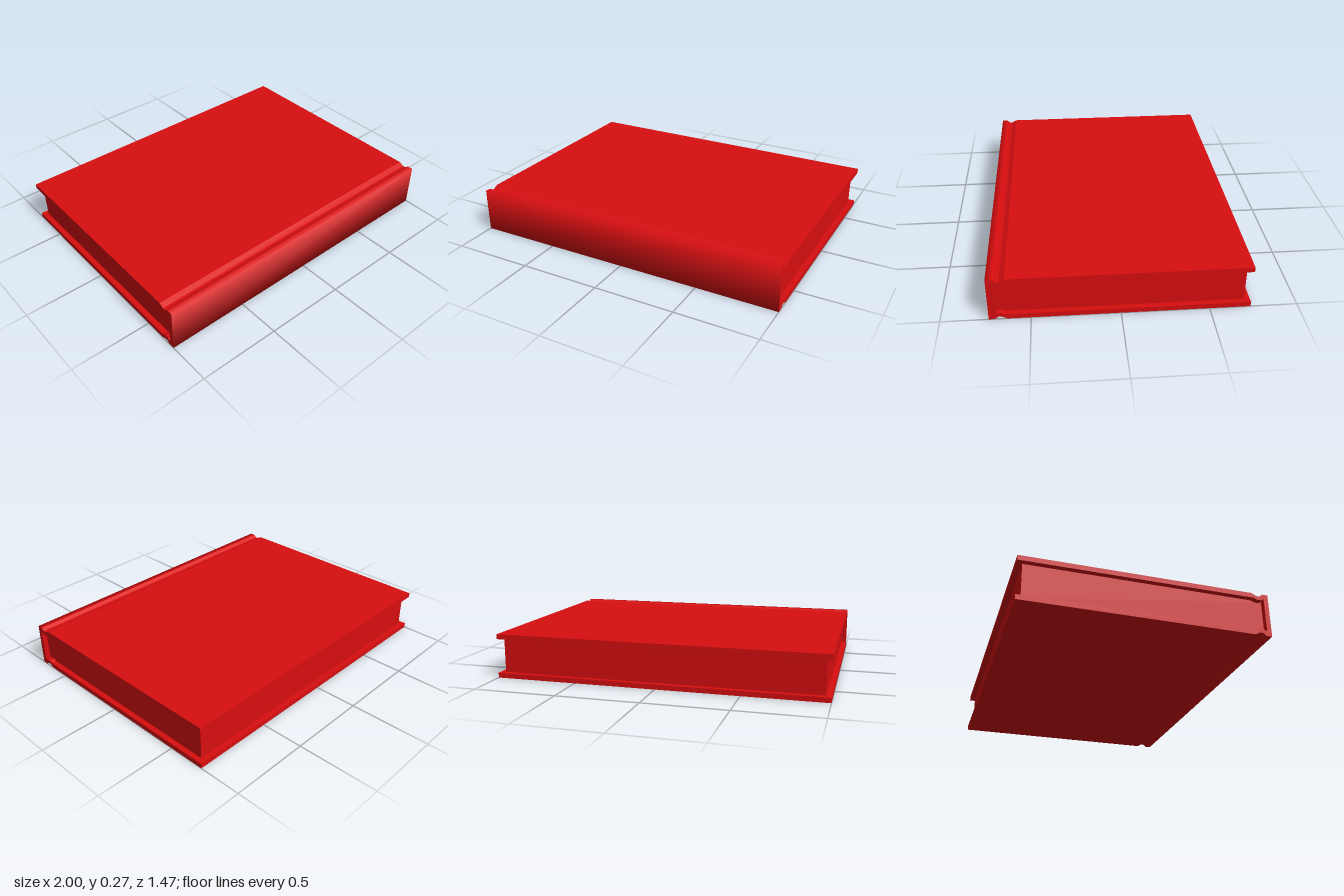
import * as THREE from 'three';

const HEIGHT = 0.27, HALF_LENGTH = 1, HALF_DEPTH = 0.733;

export function createModel() {
  const book = new THREE.Group();
  book.name = 'book';
  const red = new THREE.MeshStandardMaterial({ color: 0xd90e10 });
  red.name = 'red';

  // Lower half of the cover profile as [z, y]: outside to the spine, inside back to the fore edge
  const outer = [[-HALF_DEPTH, 0], [0.63, 0], [0.66, 0.016], [0.68, 0.016], [0.697, 0], [HALF_DEPTH, 0]];
  const inner = [[0.705, 0.03], [0.69, 0.04], [0.66, 0.04], [0.64, 0.03], [-HALF_DEPTH, 0.03]];
  const mirrored = (pts) => pts.map(([z, y]) => [z, HEIGHT - y]).reverse();
  const profile = [...outer, ...mirrored(outer), ...mirrored(inner), ...inner];

  // Cover: boards, hinge grooves and spine in one piece
  const coverGeo = new THREE.ExtrudeGeometry(
    new THREE.Shape(profile.map(([z, y]) => new THREE.Vector2(z, y))),
    { depth: HALF_LENGTH * 2, bevelEnabled: false }
  );
  coverGeo.rotateY(-Math.PI / 2).translate(HALF_LENGTH, 0, 0);

  // Soften the shading of the spine's long edges so that it reads as rounded
  const pos = coverGeo.attributes.position, normal = coverGeo.attributes.normal;
  for (let i = 0; i < pos.count; i++) {
    const onEdge = pos.getZ(i) > HALF_DEPTH - 0.001;
    if (onEdge && Math.abs(normal.getX(i)) < 0.5) {
      normal.setXYZ(i, 0, pos.getY(i) > HEIGHT / 2 ? Math.SQRT1_2 : -Math.SQRT1_2, Math.SQRT1_2);
    }
  }
  const cover = new THREE.Mesh(coverGeo, red);
  cover.name = 'cover';
  book.add(cover);

  // Page block, set back from the cover at both ends and the fore edge
  const pages = new THREE.Mesh(new THREE.BoxGeometry(1.935, 0.212, 1.405), red);
  pages.name = 'pageBlock';
  pages.position.set(0, HEIGHT / 2, 0.0025);
  book.add(pages);

  return book;
}
